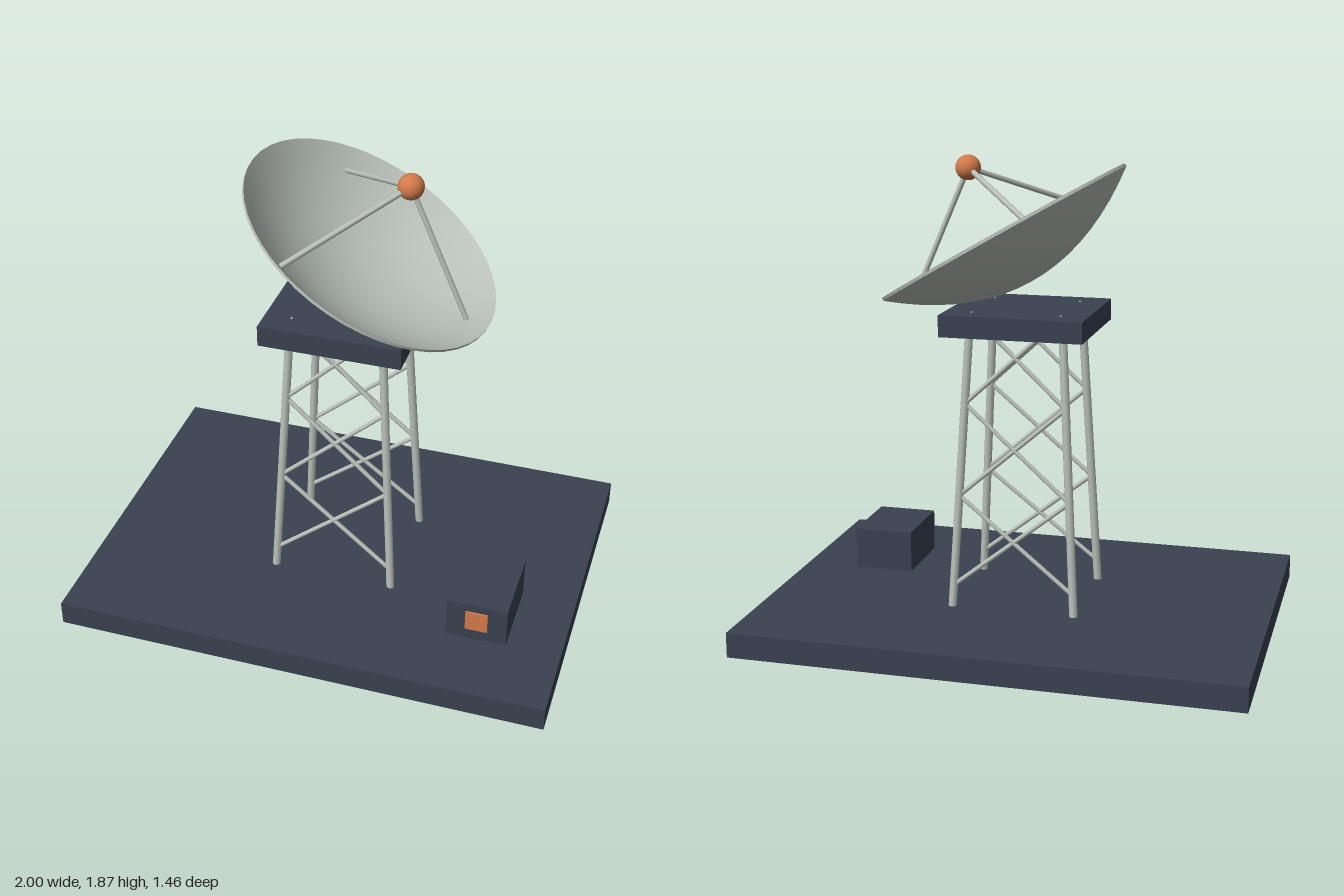
import * as THREE from 'three';

const paint = (name, color) => {
  const m = new THREE.MeshStandardMaterial({ color });
  m.name = name;
  return m;
};

export function createModel() {
  const slate = paint('dark slate', 0x394150);
  const metal = paint('pale grey metal', 0xbac2ba);
  const copper = paint('copper orange', 0xd27a4a);
  const model = new THREE.Group();
  model.name = 'dishAntenna';

  const add = (parent, name, geometry, material) => {
    const mesh = new THREE.Mesh(geometry, material);
    mesh.name = name;
    parent.add(mesh);
    return mesh;
  };
  // Box given by its min and max corners
  const box = (name, [x0, y0, z0], [x1, y1, z1], material) =>
    add(model, name, new THREE.BoxGeometry(x1 - x0, y1 - y0, z1 - z0), material)
      .position.set((x0 + x1) / 2, (y0 + y1) / 2, (z0 + z1) / 2);
  // Straight round bar between two points
  const bar = (parent, name, a, b, radius) => {
    const dir = b.clone().sub(a);
    const mesh = add(parent, name, new THREE.CylinderGeometry(radius, radius, dir.length(), 8), metal);
    mesh.position.copy(a).add(b).multiplyScalar(0.5);
    mesh.quaternion.setFromUnitVectors(new THREE.Vector3(0, 1, 0), dir.normalize());
  };

  // Ground slab, tower platform and equipment cabinet
  box('baseSlab', [-1, 0, -0.73], [1, 0.1, 0.73], slate);
  box('platform', [-0.283, 1.2, -0.265], [0.283, 1.285, 0.265], slate);
  box('cabinet', [0.535, 0.1, 0.11], [0.78, 0.272, 0.43], slate);
  box('cabinetPanel', [0.613, 0.152, 0.43], [0.703, 0.238, 0.438], copper);

  // Tower: four leaning legs, with crossed braces on the front and back
  const tower = new THREE.Group();
  tower.name = 'tower';
  model.add(tower);
  const legPoint = (sx, sz, y) => {
    const t = (y - 0.1) / 1.1;
    return new THREE.Vector3(sx * (0.248 - 0.061 * t), y, sz * (0.226 - 0.055 * t));
  };
  const levels = [0.185, 0.555, 0.925, 1.283];
  for (const sz of [1, -1]) {
    for (const sx of [1, -1]) {
      bar(tower, 'towerLeg', legPoint(sx, sz, 0.095), legPoint(sx, sz, 1.21), 0.017);
      for (let i = 0; i < 3; i++) {
        bar(tower, 'crossBrace', legPoint(sx, sz, levels[i]), legPoint(-sx, sz, levels[i + 1]), 0.009);
      }
    }
  }

  // Dish: thin parabolic bowl, tilted toward +x
  const dish = new THREE.Group();
  dish.name = 'dish';
  dish.position.set(0.095, 1.58, 0);
  dish.rotation.z = -Math.PI / 6;
  model.add(dish);
  const R = 0.54, depth = 0.213, wall = 0.012, steps = 9;
  const bowlY = r => depth * ((r / R) ** 2 - 1);
  const profile = offset => Array.from({ length: steps + 1 }, (_, i) => {
    const r = (R * i) / steps;
    return new THREE.Vector2(r, bowlY(r) - offset);
  });
  add(dish, 'dishBack', new THREE.LatheGeometry(profile(wall), 48), metal);
  add(dish, 'dishFace', new THREE.LatheGeometry(profile(0).reverse(), 48), metal);
  add(dish, 'dishRim', new THREE.LatheGeometry([new THREE.Vector2(R, -wall), new THREE.Vector2(R, 0)], 48), metal);

  // Feed ball on three struts
  const feed = new THREE.Vector3(0, 0.282, 0);
  add(dish, 'feedBall', new THREE.SphereGeometry(0.05, 24, 16), copper).position.copy(feed);
  for (let i = 0; i < 3; i++) {
    const a = (i * Math.PI * 2) / 3, r = 0.46;
    const foot = new THREE.Vector3(r * Math.cos(a), bowlY(r), r * Math.sin(a));
    bar(dish, 'feedStrut', foot, feed, 0.011);
  }
  return model;
}
